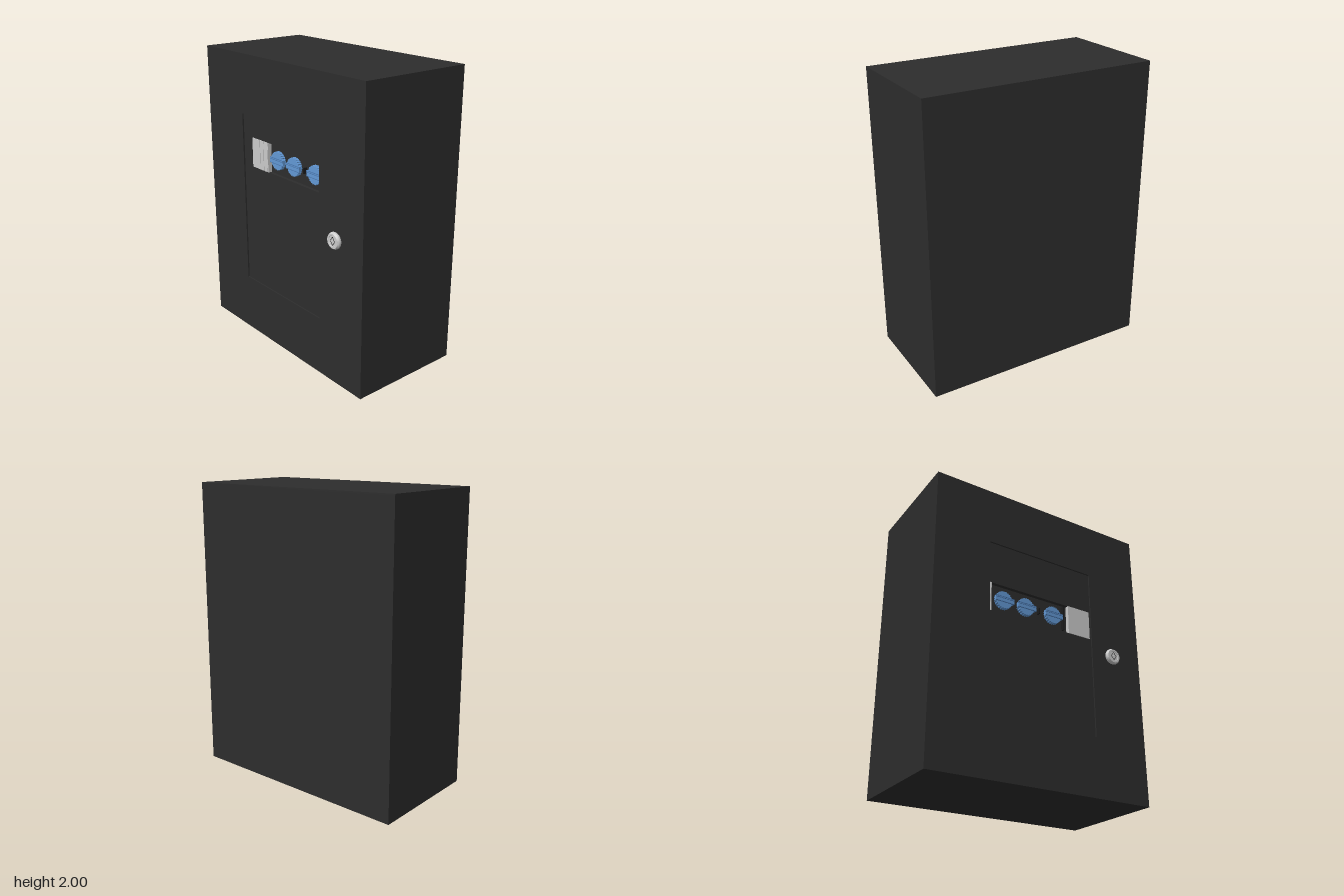
import * as THREE from 'three';
import { toCreasedNormals } from 'three/addons/utils/BufferGeometryUtils.js';

const mat = (name, color) => new THREE.MeshStandardMaterial({ name, color });

export function createModel() {
  const model = new THREE.Group();
  model.name = 'controlCabinet';
  const dark = mat('charcoal paint', 0x2d2d2d);
  const black = mat('black trim', 0x1c1c1c);
  const grey = mat('light grey', 0xcccccc);
  const blue = mat('dial blue', 0x6399d6);
  const deepBlue = mat('grip blue', 0x4a78b0);

  const add = (name, geo, material, x, y, z, parent = model) => {
    const mesh = new THREE.Mesh(geo, material);
    mesh.name = name;
    mesh.position.set(x, y, z);
    parent.add(mesh);
    return mesh;
  };
  const box = (w, h, d) => new THREE.BoxGeometry(w, h, d);
  const rect = (Type, x0, y0, x1, y1) => new Type().moveTo(x0, y0).lineTo(x1, y0).lineTo(x1, y1).lineTo(x0, y1).closePath();
  // Flat plate with one rectangular hole
  const framePlate = (outer, hole, depth) => {
    const shape = rect(THREE.Shape, ...outer);
    shape.holes.push(rect(THREE.Path, ...hole));
    return new THREE.ExtrudeGeometry(shape, { depth, bevelEnabled: false });
  };

  // Cabinet shell: side walls, back and door with window opening
  const back = -0.415, front = 0.385;
  add('cabinetWalls', framePlate([-0.8, 0, 0.8, 2], [-0.78, 0.02, 0.78, 1.98], 0.79), dark, 0, 0, back);
  add('cabinetBack', box(1.58, 1.98, 0.02), dark, 0, 1, back + 0.01);
  add('door', framePlate([-0.8, 0, 0.8, 2], [-0.4, 0.4, 0.4, 1.6], 0.01), dark, 0, 0, front - 0.01);

  // Inner cover with the slot for the devices
  const panelZ = 0.245;
  add('innerCover', framePlate([-0.78, 0.02, 0.78, 1.98], [-0.5, 1.18, 0.5, 1.39], 0.03), dark, 0, 0, panelZ - 0.03);
  add('slotBack', box(1.02, 0.23, 0.01), dark, 0, 1.285, panelZ - 0.03);

  // Breaker modules at both ends of the slot: [start, end] in x
  const modules = [[-0.49, -0.404], [-0.4, -0.361], [-0.357, -0.319], [-0.316, -0.309], [0.31, 0.49]];
  for (const [a, b] of modules) add('breakerModule', box(b - a, 0.21, 0.035), grey, (a + b) / 2, 1.285, panelZ - 0.0125);
  add('breakerGaps', box(0.17, 0.2, 0.02), black, -0.4, 1.285, panelZ - 0.012);

  // Notched rotary dials with raised grips
  const dialShape = new THREE.Shape();
  const teeth = 24;
  for (let i = 0; i < teeth * 4; i++) {
    const a = (i / (teeth * 4)) * Math.PI * 2, r = i % 4 < 2 ? 0.064 : 0.06;
    dialShape[i ? 'lineTo' : 'moveTo'](Math.cos(a) * r, Math.sin(a) * r);
  }
  dialShape.closePath();
  const dialGeo = new THREE.ExtrudeGeometry(dialShape, { depth: 0.03, bevelEnabled: false });
  for (const x of [-0.21, -0.035, 0.185]) {
    const dial = new THREE.Group();
    dial.name = 'rotaryDial';
    dial.position.set(x, 1.285, panelZ);
    model.add(dial);
    add('dialDisc', dialGeo, blue, 0, 0, -0.026, dial);
    add('dialGrip', box(0.142, 0.036, 0.02), blue, 0.003, 0, 0, dial);
    for (const y of [-0.018, 0.008, 0.018]) add('gripRidge', box(0.144, 0.004, 0.004), deepBlue, 0.003, y, 0.01, dial);
  }

  // Small dark divider and pointer beside the dials
  add('slotDivider', box(0.008, 0.18, 0.03), black, 0.272, 1.285, panelZ - 0.013);
  add('pointer', box(0.008, 0.04, 0.03), black, 0.072, 1.285, panelZ - 0.013);

  // Door lock: bevelled body, ring and diamond key socket
  const lock = new THREE.Group();
  lock.name = 'doorLock';
  lock.position.set(0.56, 1, front);
  model.add(lock);
  const profile = [[0.048, -0.002], [0.055, 0.008], [0.055, 0.018], [0.047, 0.03], [0.036, 0.03], [0.034, 0.027], [0, 0.027]]
    .map(([r, y]) => new THREE.Vector2(r, y));
  const body = add('lockBody', toCreasedNormals(new THREE.LatheGeometry(profile, 32), 0.5), grey, 0, 0, 0, lock);
  body.rotation.x = Math.PI / 2;
  const diamond = (Type, w, h) => new Type().moveTo(w, 0).lineTo(0, h).lineTo(-w, 0).lineTo(0, -h).closePath();
  const socket = diamond(THREE.Shape, 0.022, 0.03);
  socket.holes.push(diamond(THREE.Path, 0.018, 0.025));
  add('keySocket', new THREE.ExtrudeGeometry(socket, { depth: 0.001, bevelEnabled: false }), black, 0, 0, 0.027, lock);
  add('keyPin', new THREE.CylinderGeometry(0.007, 0.007, 0.003, 16).rotateX(Math.PI / 2), grey, 0, 0, 0.028, lock);

  return model;
}
